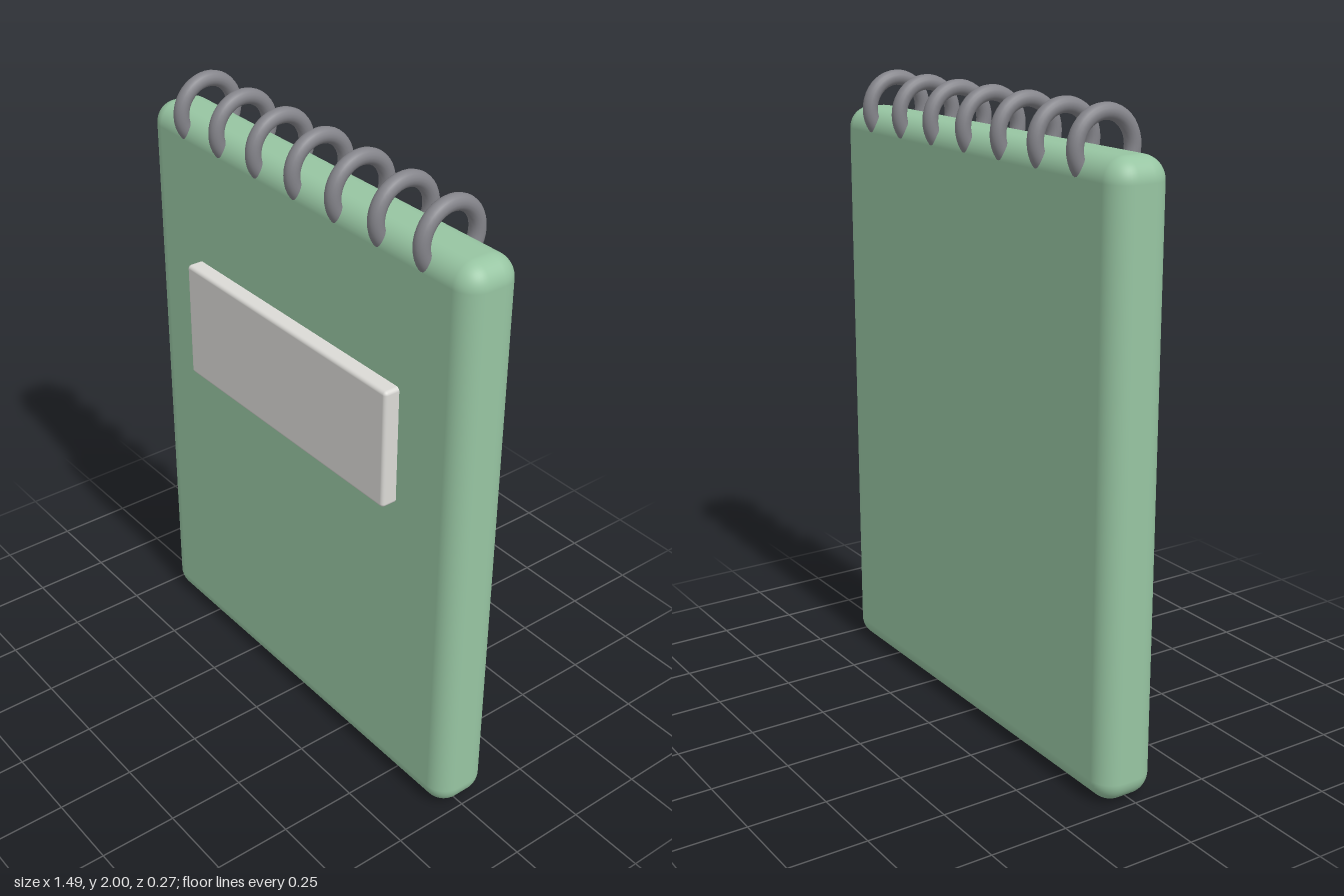
import * as THREE from 'three';
import { RoundedBoxGeometry } from 'three/addons/geometries/RoundedBoxGeometry.js';

const green = new THREE.MeshStandardMaterial({ name: 'cover green', color: 0x97c5a2 });
const paper = new THREE.MeshStandardMaterial({ name: 'label grey', color: 0xdbdad6 });
const metal = new THREE.MeshStandardMaterial({ name: 'ring grey', color: 0x84848a });

function addPart(group, name, geometry, material, x, y, z) {
  const mesh = new THREE.Mesh(geometry, material);
  mesh.name = name;
  mesh.position.set(x, y, z);
  group.add(mesh);
  return mesh;
}

export function createModel() {
  const model = new THREE.Group();
  model.name = 'notepad';

  // Soft-edged pad
  addPart(model, 'pad', new RoundedBoxGeometry(1.486, 1.876, 0.191, 6, 0.07),
    green, 0, 0.938, -0.0125);

  // Raised label on the front cover
  addPart(model, 'label', new RoundedBoxGeometry(0.968, 0.386, 0.08, 3, 0.012),
    paper, 0, 1.232, 0.093);

  // Binding rings along the top edge
  const rings = new THREE.Group();
  rings.name = 'bindingRings';
  const ringGeometry = new THREE.TorusGeometry(0.096, 0.024, 16, 40);
  for (let i = -3; i <= 3; i++) {
    const ring = addPart(rings, 'ring', ringGeometry, metal, i * 0.1843, 1.88, -0.0125);
    ring.rotation.y = Math.PI / 2;
  }
  model.add(rings);

  return model;
}
